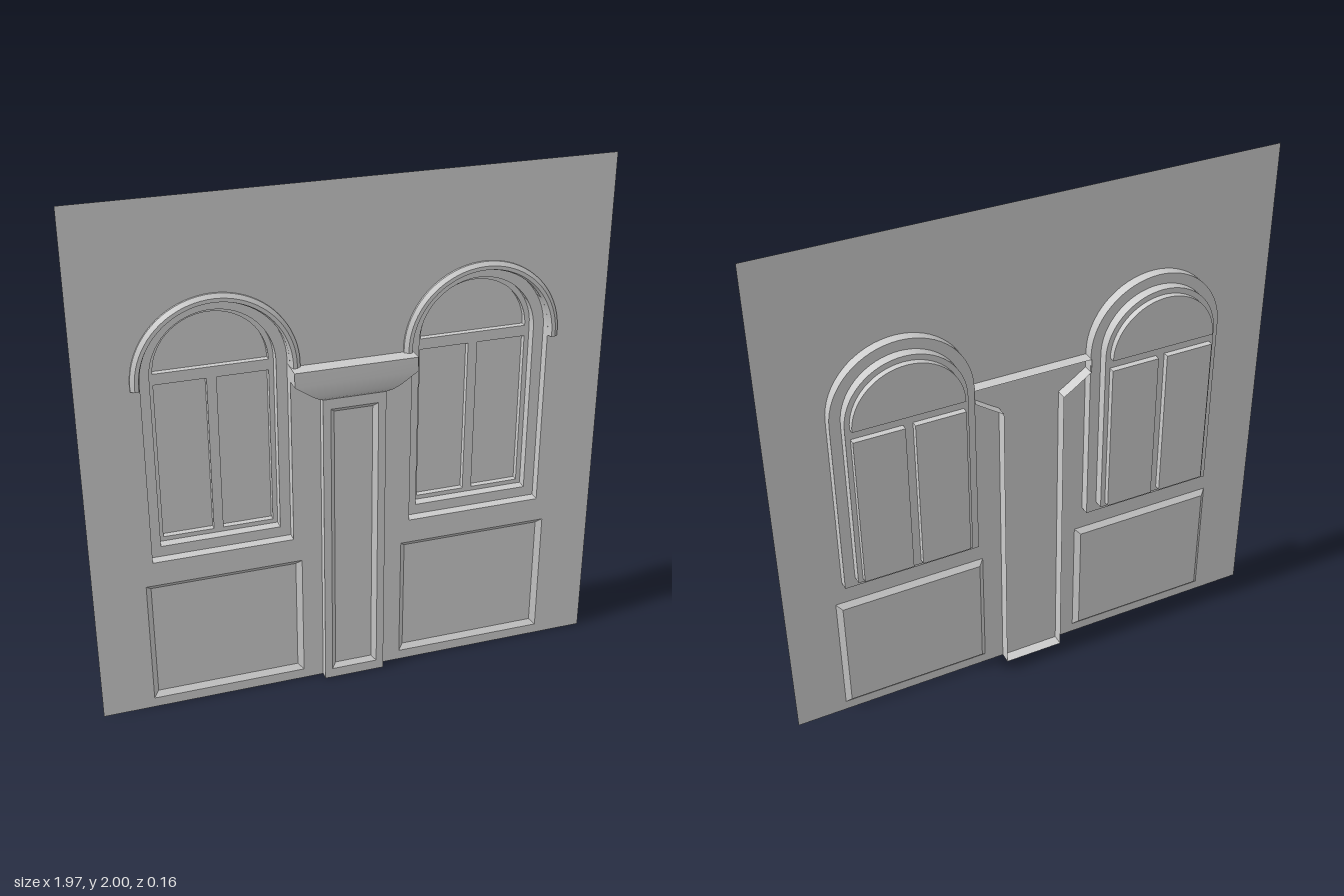
import * as THREE from 'three';
import { toCreasedNormals } from 'three/addons/utils/BufferGeometryUtils.js';

const material = new THREE.MeshStandardMaterial({ color: 0xcccccc, side: THREE.DoubleSide });
const WALL_Z = 0.02, WIN_X = 0.493, SPRING = 1.35;

// 2D outlines, counter-clockwise
const rect = (x0, y0, x1, y1) => [[x0, y0], [x1, y0], [x1, y1], [x0, y1]];
const arc = (cx, cy, r, n = 32) => Array.from({ length: n + 1 }, (_, i) => {
  const a = Math.PI * i / n;
  return [cx + r * Math.cos(a), cy + r * Math.sin(a)];
});
const arched = (cx, bottom, r) => [[cx - r, bottom], [cx + r, bottom], ...arc(cx, SPRING, r)];
const atZ = (outline, z) => outline.map(([x, y]) => [x, y, z]);

function mesh(name, geometry) {
  const m = new THREE.Mesh(geometry, material);
  m.name = name;
  return m;
}

// Flat sheet facing +z with openings
function sheet(name, outline, holes, z) {
  const v = (pts) => pts.map(([x, y]) => new THREE.Vector2(x, y));
  const shape = new THREE.Shape(v(outline));
  holes.forEach((h) => shape.holes.push(new THREE.Path(v(h))));
  return mesh(name, new THREE.ShapeGeometry(shape).translate(0, 0, z));
}

// Skin joining successive loops of equal point count
function loft(name, loops, closed = true) {
  const n = loops[0].length, pos = [];
  for (let k = 0; k + 1 < loops.length; k++) {
    for (let i = 0; i < (closed ? n : n - 1); i++) {
      const j = (i + 1) % n;
      const [a, b, c, d] = [loops[k][i], loops[k][j], loops[k + 1][j], loops[k + 1][i]];
      pos.push(...a, ...b, ...c, ...a, ...c, ...d);
    }
  }
  const g = new THREE.BufferGeometry();
  g.setAttribute('position', new THREE.Float32BufferAttribute(pos, 3));
  g.computeVertexNormals();
  return mesh(name, toCreasedNormals(g, 0.5));
}

// Sunken panel with bevelled edges
function sunkenPanel(name, x0, y0, x1, y1, z, depth, bevel) {
  const g = new THREE.Group();
  g.name = name;
  const inner = rect(x0 + bevel, y0 + bevel, x1 - bevel, y1 - bevel);
  g.add(loft('panelBevel', [atZ(rect(x0, y0, x1, y1), z), atZ(inner, z - depth)]));
  g.add(sheet('panelField', inner, [], z - depth));
  return g;
}

function archedWindow(cx) {
  const g = new THREE.Group();
  g.name = 'archedWindow';
  const zs = [WALL_Z, -0.018, -0.055, -0.078];
  const outer = arched(cx, 0.637, 0.265), inner = arched(cx, 0.678, 0.225);

  // Stepped reveal
  g.add(loft('outerReveal', [atZ(outer, zs[0]), atZ(outer, zs[1])]));
  g.add(sheet('revealStep', outer, [inner], zs[1]));
  g.add(loft('innerReveal', [atZ(inner, zs[1]), atZ(inner, zs[2])]));

  // Sash frame with two casements and a lunette
  const panes = [
    rect(cx - 0.207, 0.695, cx - 0.018, 1.305),
    rect(cx + 0.018, 0.695, cx + 0.207, 1.305),
    arc(cx, SPRING - 0.003, 0.207),
  ];
  g.add(sheet('sashFrame', inner, panes, zs[2]));
  panes.forEach((p) => {
    g.add(loft('paneReveal', [atZ(p, zs[2]), atZ(p, zs[3])]));
    g.add(sheet('pane', p, [], zs[3]));
  });

  // Hood moulding: section of [radius, z] swept round the arch, with short legs
  const section = [[0.265, 0.02], [0.272, 0.04], [0.286, 0.04], [0.3, 0.028], [0.3, 0.02]];
  const station = (a, drop) => section.map(([r, z]) =>
    [cx + r * Math.cos(a), SPRING + r * Math.sin(a) - drop, z]);
  const loops = [station(0, 0.02)];
  for (let i = 0; i <= 40; i++) loops.push(station(Math.PI * i / 40, 0));
  loops.push(station(Math.PI, 0.02));
  const cap = (loop) => loop.map(() => [(loop[1][0] + loop[3][0]) / 2, loop[0][1], 0.028]);
  loops.unshift(cap(loops[0]));
  loops.push(cap(loops[loops.length - 1]));
  g.add(loft('hoodMoulding', loops));
  return g;
}

function pilaster() {
  const g = new THREE.Group();
  g.name = 'pilaster';
  const back = -0.024, front = 0.053, hw = 0.119, neck = 1.21;
  // Open-backed shaft and flared capital: [y, half width, front z]
  const rings = [[0, hw, front], [neck, hw, front], [1.222, 0.138, 0.068], [1.24, 0.165, 0.077],
    [1.285, 0.229, 0.08], [1.34, 0.229, 0.08]];
  const sides = (s) => rings.map(([y, w, z]) => [[s * w, y, back], [s * w, y, z]]);
  g.add(loft('leftSide', sides(1), false), loft('rightSide', sides(-1), false));
  g.add(loft('capitalFront', rings.slice(1).map(([y, w, z]) => [[-w, y, z], [w, y, z]]), false));
  for (const [name, [y, w, z]] of [['base', rings[0]], ['capitalTop', rings[5]]]) {
    g.add(loft(name, [[[-w, y, back], [w, y, back]], [[-w, y, z], [w, y, z]]], false));
  }
  // Shaft face with sunken panel
  g.add(sheet('shaftFace', rect(-hw, 0, hw, neck), [rect(-0.09, 0.04, 0.09, 1.17)], front));
  g.add(sunkenPanel('shaftPanel', -0.09, 0.04, 0.09, 1.17, front, 0.016, 0.017));
  return g;
}

export function createModel() {
  const model = new THREE.Group();
  model.name = 'facadeWall';
  const holes = [];
  for (const s of [-1, 1]) {
    const cx = s * WIN_X;
    holes.push(arched(cx, 0.637, 0.265), rect(cx - 0.296, 0.04, cx + 0.296, 0.54));
    model.add(archedWindow(cx));
    model.add(sunkenPanel('lowerPanel', cx - 0.296, 0.04, cx + 0.296, 0.54, WALL_Z, 0.017, 0.02));
  }
  model.add(sheet('wall', rect(-0.985, 0, 0.985, 2), holes, WALL_Z));
  model.add(pilaster());
  return model;
}
